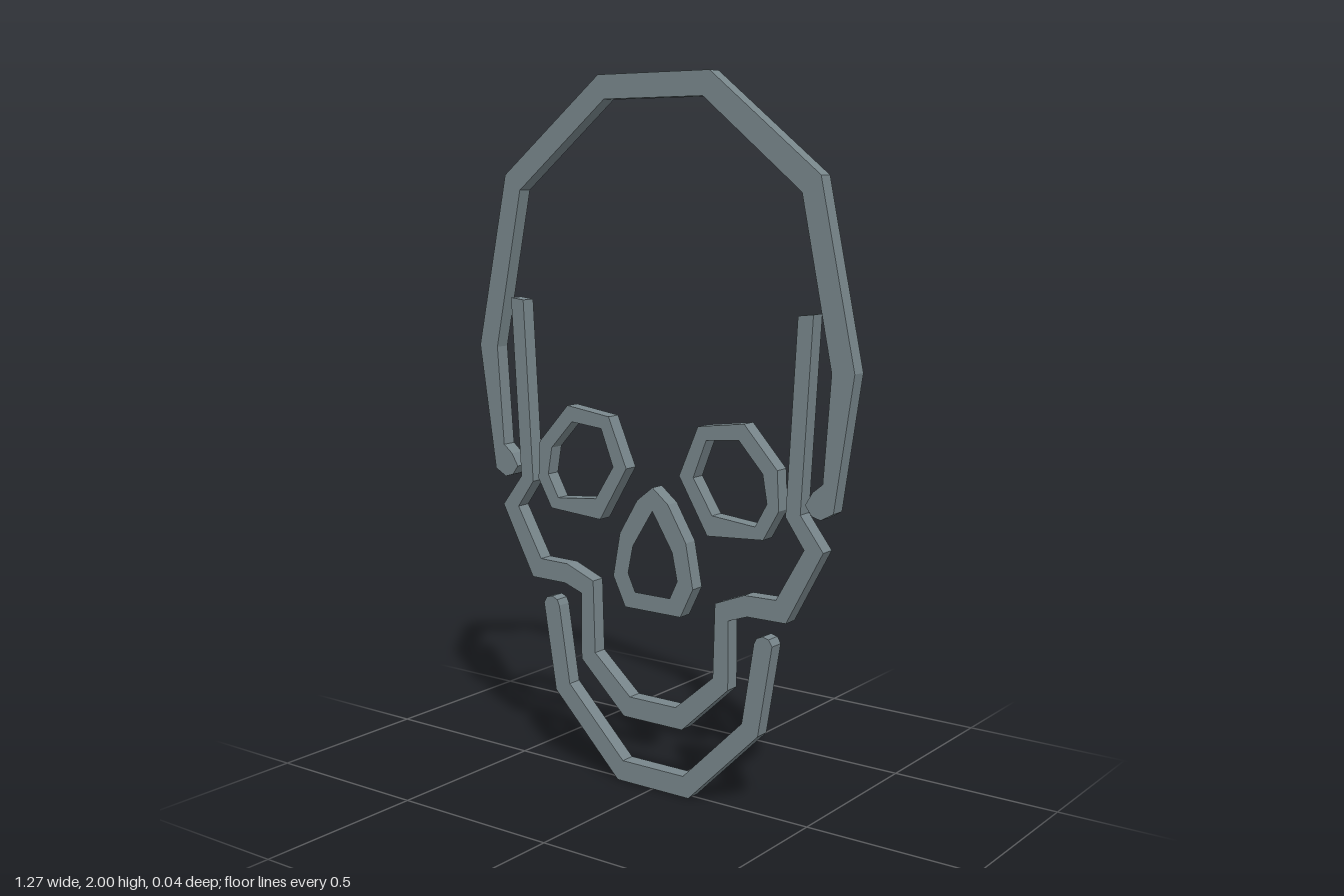
import * as THREE from 'three';

const DEPTH = 0.044;

export function createModel() {
  const model = new THREE.Group();
  model.name = 'skullOutline';
  const steel = new THREE.MeshStandardMaterial({ color: 0x78868b });
  steel.name = 'steelGrey';

  const mirror = (pts) => pts.map(([x, y]) => [-x, y]).reverse();
  const vectors = (pts) => pts.map(([x, y]) => new THREE.Vector2(x, y));
  // Half an outline, completed across the centre line
  const whole = (half) => [...half, ...mirror(half).filter(([x]) => x !== 0)];

  // Flat plate cut from an outline, with an optional opening
  function plate(name, outline, hole) {
    const shape = new THREE.Shape(vectors(outline));
    if (hole) shape.holes.push(new THREE.Path(vectors(hole)));
    const geometry = new THREE.ExtrudeGeometry(shape, { depth: DEPTH, bevelEnabled: false });
    geometry.translate(0, 0, -DEPTH / 2);
    const mesh = new THREE.Mesh(geometry, steel);
    mesh.name = name;
    model.add(mesh);
  }

  // Open band: outer edge, rounded end and inner edge of the left half
  const band = (name, half) => plate(name, [...half, ...mirror(half)]);

  // Cranium arch with its hooked ends
  band('cranium', [
    [0.185, 2], [0.526, 1.73], [0.633, 1.235], [0.578, 0.87], [0.54, 0.849], [0.513, 0.857],
    [0.493, 0.884], [0.515, 0.92], [0.545, 0.944], [0.566, 1.232], [0.471, 1.687], [0.164, 1.934],
  ]);

  // Temples, cheekbones and upper jaw in one band
  band('cheeksAndUpperJaw', [
    [0.08, 0.257], [0.206, 0.366], [0.212, 0.578], [0.307, 0.615], [0.407, 0.617], [0.492, 0.764],
    [0.434, 0.845], [0.464, 1.374], [0.51, 1.379], [0.479, 0.856], [0.55, 0.764], [0.439, 0.558],
    [0.317, 0.557], [0.256, 0.536], [0.256, 0.34], [0.102, 0.196],
  ]);

  // Lower jaw with rounded tips
  band('lowerJaw', [
    [0.106, 0.061], [0.302, 0.255], [0.339, 0.485], [0.347, 0.502], [0.366, 0.51], [0.386, 0.505],
    [0.397, 0.487], [0.354, 0.228], [0.125, 0],
  ]);

  // Eye sockets
  const eye = [
    [0.302, 1.08], [0.153, 1.06], [0.091, 0.918], [0.185, 0.762], [0.365, 0.774], [0.413, 0.857],
    [0.407, 0.966],
  ];
  const eyeHole = [
    [0.286, 1.034], [0.18, 1.024], [0.138, 0.918], [0.201, 0.82], [0.339, 0.807], [0.376, 0.873],
    [0.362, 0.952],
  ];
  plate('leftEyeSocket', eye, eyeHole);
  plate('rightEyeSocket', mirror(eye), mirror(eyeHole));

  // Nose opening
  plate('nose',
    whole([[0, 0.875], [0.053, 0.833], [0.114, 0.732], [0.138, 0.605], [0.096, 0.52]]),
    whole([[0, 0.808], [0.068, 0.7], [0.085, 0.62], [0.06, 0.568]]));

  return model;
}
